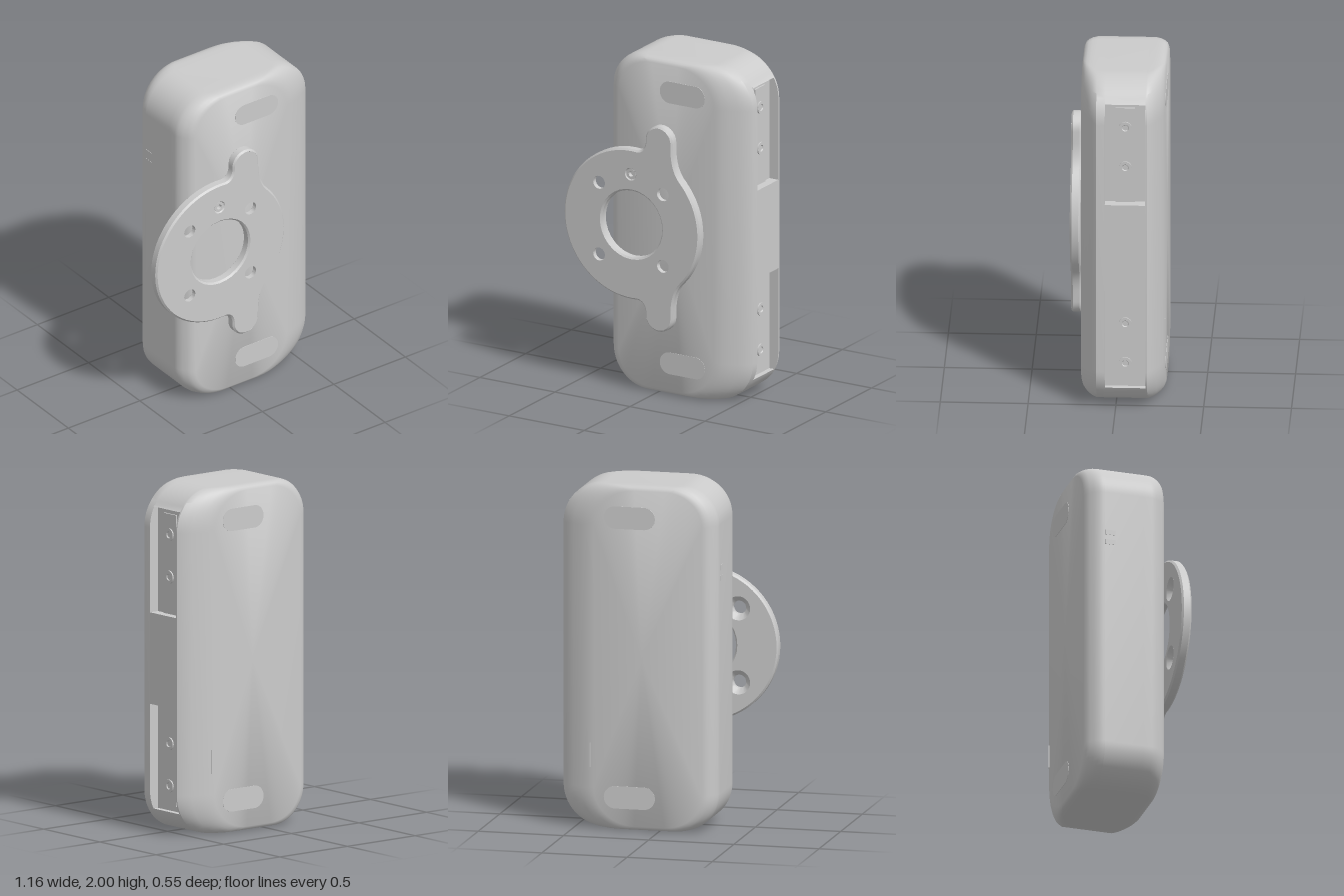
import * as THREE from 'three';
import { toCreasedNormals } from 'three/addons/utils/BufferGeometryUtils.js';

const mat = new THREE.MeshStandardMaterial({ color: 0xcccccc, side: THREE.DoubleSide });
const X0 = -0.335, X1 = 0.58, ZF = 0.205, ZB = -0.275;
const POCKET_Z = [-0.17, 0.06], FLOOR_X = 0.52;

function add(parent, name, geo, x = 0, y = 0, z = 0) {
  const m = new THREE.Mesh(geo, mat);
  m.name = name;
  m.position.set(x, y, z);
  parent.add(m);
  return m;
}

// Rounded upright outline, inset on its left, right and top/bottom sides
function outline(l = 0, r = 0, t = 0) {
  const pts = [], n = 14;
  const corners = [[1, -1], [1, 1], [-1, 1], [-1, -1]];
  corners.forEach(([sx, sy], c) => {
    const rx = sx > 0 ? 0.24 : 0.22, ry = rx - t;
    const cx = sx > 0 ? X1 - r - rx : X0 + l + rx;
    const cy = sy > 0 ? 2 - t - ry : t + ry;
    for (let i = 0; i <= n; i++) {
      const a = (c - 1 + i / n) * Math.PI / 2;
      pts.push(new THREE.Vector2(cx + rx * Math.cos(a), cy + ry * Math.sin(a)));
    }
  });
  return pts;
}

// Shell half: rings from the pocket edge out to the rounded face
function shellHalf(zInner, zFace) {
  const s = Math.sign(zFace - zInner);
  // depth behind face, left inset, right inset, top inset
  const levels = [[0.095, 0, 0, 0], [0.07, 0.004, 0.025, 0], [0.045, 0.02, 0.07, 0],
    [0.025, 0.037, 0.115, 0.003], [0.01, 0.053, 0.155, 0.01], [0, 0.08, 0.2, 0.025]];
  const rings = [[outline(), zInner],
    ...levels.map(([d, l, r, t]) => [outline(l, r, t), zFace - s * d])];
  const pos = [], idx = [], n = rings[0][0].length;
  rings.forEach(([pts, z]) => pts.forEach(p => pos.push(p.x, p.y, z)));
  const tri = (a, b, c) => s > 0 ? idx.push(a, b, c) : idx.push(a, c, b);
  for (let k = 0; k < rings.length - 1; k++)
    for (let i = 0; i < n; i++) {
      const j = (i + 1) % n, a = k * n + i, b = k * n + j;
      tri(a, b, b + n);
      tri(a, b + n, a + n);
    }
  // outer face, and inner face that closes the pockets
  const mid = rings.length * n, last = (rings.length - 1) * n;
  pos.push(0.1, 1, zFace, 0.1, 1, zInner);
  for (let i = 0; i < n; i++) {
    const j = (i + 1) % n;
    tri(mid, last + i, last + j);
    tri(mid + 1, j, i);
  }
  const g = new THREE.BufferGeometry();
  g.setAttribute('position', new THREE.Float32BufferAttribute(pos, 3));
  g.setIndex(idx);
  return toCreasedNormals(g, 0.6);
}

// Middle band of the shell with two pockets notched into its side
function middleBand() {
  const pts = outline(), inPocket = p => p.x > 0.5 && p.y > 0.13 && p.y < 1.88;
  const at = pts.findIndex(inPocket), kept = pts.filter(p => !inPocket(p));
  const notch = [[0.553, 0.13], [FLOOR_X, 0.13], [FLOOR_X, 0.74], [X1, 0.74],
    [X1, 1.27], [FLOOR_X, 1.27], [FLOOR_X, 1.88], [0.553, 1.88]];
  kept.splice(at, 0, ...notch.map(([x, y]) => new THREE.Vector2(x, y)));
  const g = new THREE.ExtrudeGeometry(new THREE.Shape(kept),
    { depth: POCKET_Z[1] - POCKET_Z[0], bevelEnabled: false });
  g.translate(0, 0, POCKET_Z[0]);
  return toCreasedNormals(g, 0.6);
}

function pill(w, h, depth) {
  const s = new THREE.Shape(), r = h / 2, c = w / 2 - r;
  s.absarc(c, 0, r, -Math.PI / 2, Math.PI / 2);
  s.absarc(-c, 0, r, Math.PI / 2, Math.PI * 1.5);
  return new THREE.ExtrudeGeometry(s, { depth, bevelEnabled: false, curveSegments: 10 });
}

// Mounting plate outline: disc with two ears, mirrored about its middle
const PC = [-0.13, 1.005], EAR = [0.05, 1.53];
function plateShape() {
  const half = [];
  const arc = (cx, cy, r, a0, a1, n) => {
    for (let i = 0; i <= n; i++) {
      const a = (a0 + (a1 - a0) * i / n) * Math.PI / 180;
      half.push(new THREE.Vector2(cx + r * Math.cos(a), cy + r * Math.sin(a)));
    }
  };
  const blend = (a, b, c) => half.push(...new THREE.QuadraticBezierCurve(
    new THREE.Vector2(...a), new THREE.Vector2(...b), new THREE.Vector2(...c)).getPoints(6).slice(1, -1));
  arc(...PC, 0.45, 0, 42, 10);
  blend([0.204, 1.306], [0.14, 1.37], [0.14, 1.5]);
  arc(...EAR, 0.09, 0, 190, 14);
  blend([-0.039, 1.514], [-0.045, 1.46], [-0.09, 1.453]);
  arc(...PC, 0.45, 85, 180, 20);
  const lower = half.slice(1, -1).reverse().map(p => new THREE.Vector2(p.x, 2 * PC[1] - p.y));
  return new THREE.Shape([...half, ...lower]);
}

function hole(shape, x, y, r) {
  shape.holes.push(new THREE.Path().absarc(x, y, r, 0, Math.PI * 2, true));
}

// Lathe turned so that its axis runs along z
function turned(points, sides = 24) {
  return toCreasedNormals(new THREE.LatheGeometry(
    points.map(p => new THREE.Vector2(...p)), sides).rotateX(Math.PI / 2), 0.5);
}

export function createModel() {
  const model = new THREE.Group();

  // Housing
  const housing = new THREE.Group();
  housing.name = 'housing';
  model.add(housing);
  add(housing, 'frontShell', shellHalf(POCKET_Z[1], ZF));
  add(housing, 'backShell', shellHalf(POCKET_Z[0], ZB));
  add(housing, 'middleBand', middleBand());

  // Flush oval pads on front and back
  for (const y of [0.19, 1.815])
    for (const z of [ZF - 0.008, ZB - 0.002])
      add(housing, 'ovalPad', pill(0.3, 0.13, 0.01), 0.17, y, z);

  // Small vents on the side and a slit on the back
  for (const y of [1.47, 1.53])
    add(housing, 'sideVent', new THREE.BoxGeometry(0.004, 0.03, 0.06), X0, y, -0.14);
  add(housing, 'backSlit', new THREE.BoxGeometry(0.008, 0.14, 0.004), 0.4, 0.43, ZB);

  // Rails with screws inside the pockets
  for (const [y, screws] of [[1.56, [1.73, 1.485]], [0.45, [0.52, 0.275]]]) {
    add(housing, 'rail', new THREE.BoxGeometry(0.012, 0.58, 0.11), FLOOR_X + 0.004, y, -0.055);
    for (const sy of screws) {
      const screw = turned([[0.037, 0], [0.037, 0.008], [0.02, 0.008], [0.016, 0.002], [0, 0.002]], 16);
      add(housing, 'railScrew', screw, FLOOR_X + 0.01, sy, -0.055).rotation.y = Math.PI / 2;
    }
  }

  // Mounting plate
  const plate = new THREE.Group();
  plate.name = 'mountingPlate';
  model.add(plate);
  const z0 = 0.213, z1 = 0.272, b = 0.01, shape = plateShape();
  const ears = [EAR, [EAR[0], 2 * PC[1] - EAR[1]]];
  const bolts = [[-0.345, 1.22], [0.08, 1.22], [-0.345, 0.79], [0.08, 0.79]];
  hole(shape, ...PC, 0.2);
  hole(shape, -0.135, 1.305, 0.028);
  ears.forEach(e => hole(shape, ...e, 0.07));
  bolts.forEach(p => hole(shape, ...p, 0.06));
  const body = new THREE.ExtrudeGeometry(shape, { depth: z1 - z0 - 2 * b, curveSegments: 16,
    bevelSize: b, bevelThickness: b, bevelOffset: -b, bevelSegments: 1 });
  add(plate, 'plateBody', toCreasedNormals(body, 0.5), 0, 0, z0 + b);

  // Bolt holes countersunk from behind
  for (const [x, y] of bolts)
    add(plate, 'boltHole', turned([[0.07, 0], [0.039, 0.03], [0.039, z1 - z0], [0.071, z1 - z0]]), x, y, z0);

  // Ears countersunk from the front, with a screw and a spacer behind
  for (const [x, y] of ears) {
    add(plate, 'earCountersink', turned([[0.08, z1 - z0], [0.038, 0.02], [0, 0.02]]), x, y, z0);
    add(plate, 'earScrew', turned([[0.04, 0], [0.04, 0.028], [0.03, 0.028], [0.03, 0.022], [0, 0.022]], 6), x, y, z0);
    add(plate, 'spacer', new THREE.CylinderGeometry(0.075, 0.075, 0.02, 24).rotateX(Math.PI / 2), x, y, 0.21);
  }

  // Small set screw
  add(plate, 'setScrew', turned([[0.032, 0], [0.032, 0.05], [0.016, 0.05], [0.012, 0.03], [0, 0.03]], 12),
    -0.135, 1.305, z0 + 0.004);
  return model;
}
